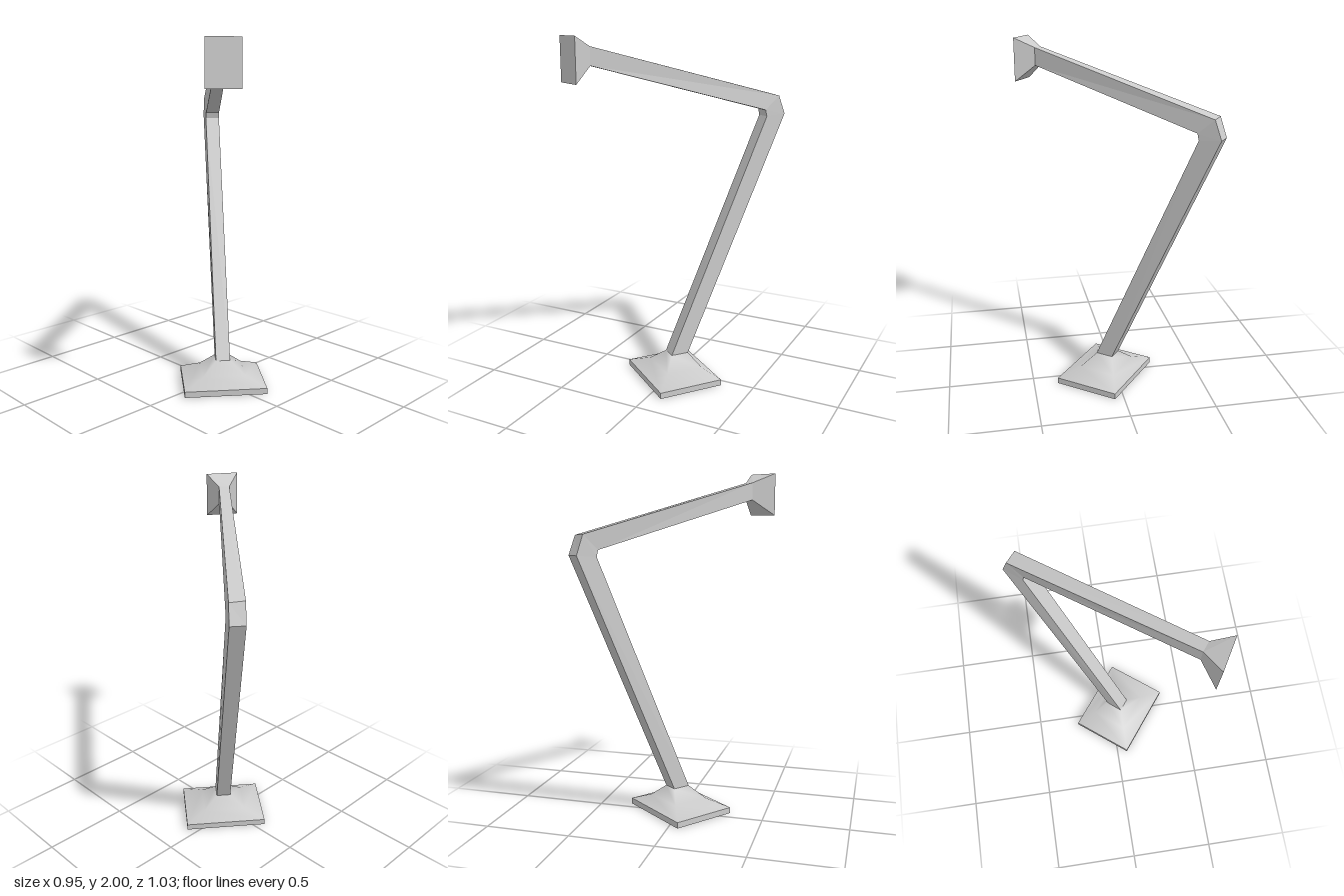
import * as THREE from 'three';

// Skins a run of four-cornered rings (back-left, back-right, front-right, front-left), with optional end caps.
function loft(name, rings, { smooth = false, start = false, end = false } = {}) {
  const index = [];
  for (let r = 0; r < rings.length - 1; r++) {
    for (let i = 0; i < 4; i++) {
      const j = (i + 1) % 4;
      const a = r * 4 + i, b = r * 4 + j;
      index.push(a, a + 4, b + 4, a, b + 4, b);
    }
  }
  const e = (rings.length - 1) * 4;
  if (start) index.push(0, 1, 2, 0, 2, 3);
  if (end) index.push(e + 2, e + 1, e, e + 3, e + 2, e);
  const geometry = new THREE.BufferGeometry();
  geometry.setAttribute('position', new THREE.Float32BufferAttribute(rings.flat(2), 3));
  geometry.setIndex(index);
  geometry.computeVertexNormals();
  const material = new THREE.MeshStandardMaterial({ color: 0xcccccc, flatShading: !smooth });
  const mesh = new THREE.Mesh(geometry, material);
  mesh.name = name;
  return mesh;
}

// Places a plan outline of [x, z] corners at one height.
const level = (plan, y) => plan.map(([x, z]) => [x, y, z]);

export function createModel() {
  const group = new THREE.Group();
  group.name = 'bentArmStand';

  const platePlan = [[-0.056, -0.242], [0.318, 0.054], [0.08, 0.358], [-0.297, 0.063]];
  const postPlan = [[0.024, -0.022], [0.09, 0.03], [0.024, 0.11], [-0.042, 0.058]];
  const blend = (t) => platePlan.map(([x, z], i) => [
    x + (postPlan[i][0] - x) * t,
    z + (postPlan[i][1] - z) * t,
  ]);

  // Cross-sections along the bent arm
  const foot = level(postPlan, 0.15);
  const bendLow = [[0.407, 1.545, -0.515], [0.473, 1.545, -0.465], [0.4, 1.535, -0.367], [0.334, 1.535, -0.417]];
  const bendHigh = [[0.382, 1.655, -0.485], [0.447, 1.65, -0.435], [0.394, 1.572, -0.36], [0.329, 1.572, -0.41]];
  const neck = [[-0.35, 1.945, 0.36], [-0.303, 1.945, 0.398], [-0.303, 1.845, 0.398], [-0.35, 1.845, 0.36]];
  const face = [[-0.475, 2, 0.42], [-0.315, 2, 0.515], [-0.315, 1.755, 0.515], [-0.475, 1.755, 0.42]];

  group.add(
    // Flat foot plate and the softly shaded mound rising to the post
    loft('basePlate', [level(platePlan, 0), level(platePlan, 0.035)], { start: true, end: true }),
    loft('baseMound', [level(platePlan, 0.035), level(blend(0.58), 0.08), foot], { smooth: true }),
    // Leaning post, chamfered elbow and tapering upper arm
    loft('post', [foot, bendLow]),
    loft('elbow', [bendLow, bendHigh]),
    loft('upperArm', [bendHigh, neck]),
    // Flared head with a flat upright face
    loft('head', [neck, face], { end: true }),
  );
  return group;
}
